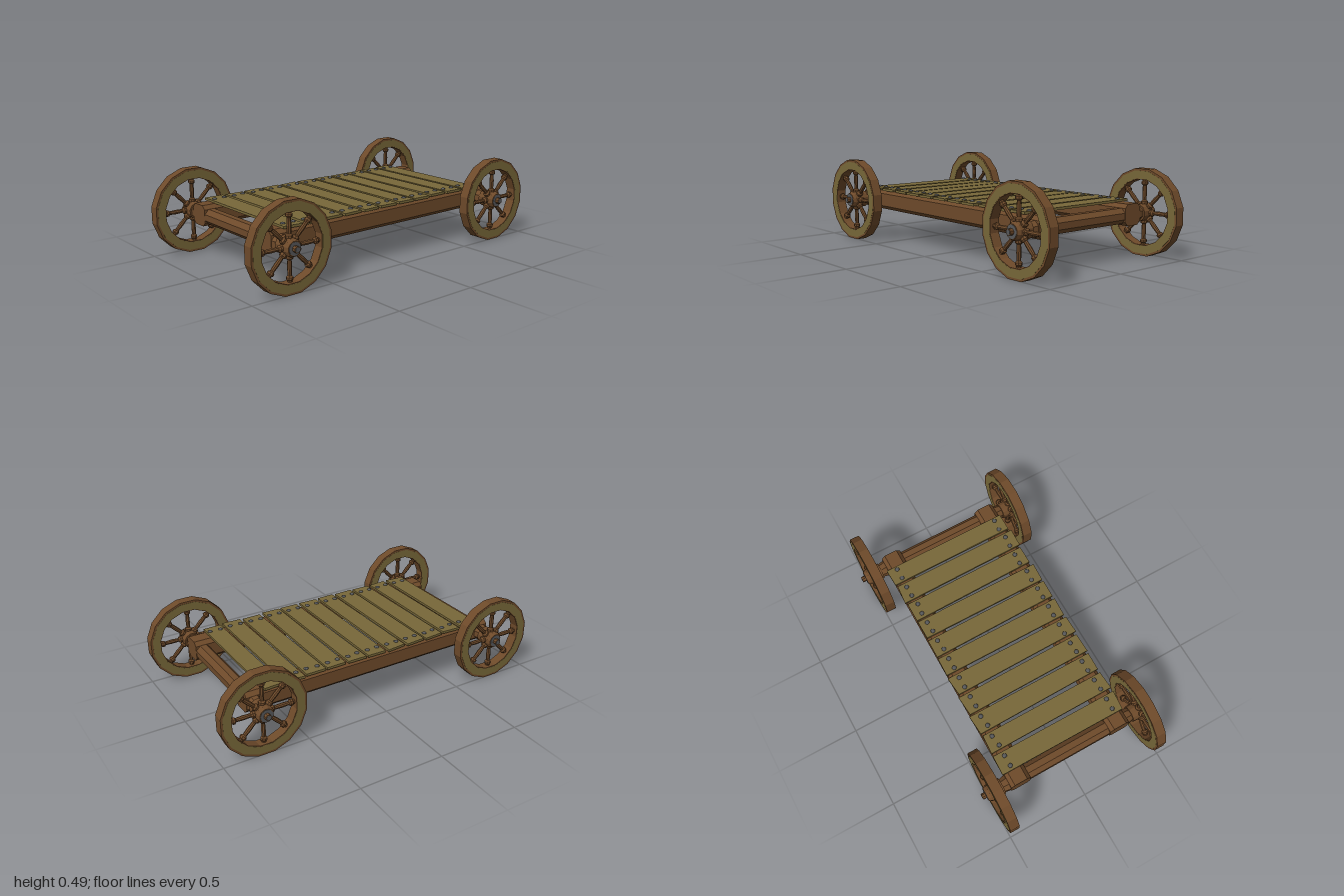
import * as THREE from 'three';

const brown = new THREE.MeshStandardMaterial({ color: 0x6e4a2a, flatShading: true });
const olive = new THREE.MeshStandardMaterial({ color: 0x786839, flatShading: true });
const metal = new THREE.MeshStandardMaterial({ color: 0x57585a, flatShading: true });

const AXLE_X = 0.755, AXLE_Y = 0.245;

function add(parent, name, geometry, material, x = 0, y = 0, z = 0) {
  const mesh = new THREE.Mesh(geometry, material);
  mesh.name = name;
  mesh.position.set(x, y, z);
  parent.add(mesh);
  return mesh;
}

// Octagonal or round bar along z, with flats facing the axes
function bar(r0, r1, length, sides = 8) {
  return new THREE.CylinderGeometry(r1, r0, length, sides).rotateY(Math.PI / sides).rotateX(Math.PI / 2);
}

// Sixteen-sided ring centred on z = 0
function ring(outer, inner, depth) {
  const points = (r) => Array.from({ length: 16 }, (_, i) => {
    const a = (i + 0.5) * Math.PI / 8;
    return new THREE.Vector2(r * Math.cos(a), r * Math.sin(a));
  });
  const shape = new THREE.Shape(points(outer));
  shape.holes.push(new THREE.Path(points(inner).reverse()));
  return new THREE.ExtrudeGeometry(shape, { depth, bevelEnabled: false }).translate(0, 0, -depth / 2);
}

// Wheel facing +z
function createWheel() {
  const wheel = new THREE.Group();
  add(wheel, 'rim', ring(0.249, 0.187, 0.058), brown);
  for (const s of [-1, 1]) add(wheel, 'rimFace', ring(0.237, 0.191, 0.002), olive, 0, 0, s * 0.029);
  // Spokes with a collar at each end
  const profile = [[0.013, 0.03], [0.02, 0.05], [0.02, 0.06], [0.011, 0.068], [0.013, 0.11],
    [0.011, 0.15], [0.019, 0.158], [0.019, 0.17], [0.013, 0.176], [0.013, 0.195]]
    .map(([r, y]) => new THREE.Vector2(r, y));
  const spoke = new THREE.LatheGeometry(profile, 8);
  for (let i = 0; i < 8; i++) add(wheel, 'spoke', spoke, brown).rotation.z = i * Math.PI / 4;
  // Hub, end plate and axle tip
  add(wheel, 'hub', bar(0.049, 0.049, 0.085, 12), brown, 0, 0, -0.0125);
  add(wheel, 'hubTaper', bar(0.049, 0.04, 0.017, 12), brown, 0, 0, 0.0385);
  add(wheel, 'hubPlate', bar(0.036, 0.036, 0.003, 12), metal, 0, 0, 0.0475);
  add(wheel, 'axleTip', bar(0.018, 0.018, 0.026), brown, 0, 0, 0.0575);
  add(wheel, 'axleCap', bar(0.014, 0.014, 0.002), metal, 0, 0, 0.071);
  return wheel;
}

export function createModel() {
  const cart = new THREE.Group();
  cart.name = 'cart';

  // Axles and wheels
  for (const sx of [-1, 1]) {
    add(cart, 'axle', bar(0.047, 0.047, 0.78), brown, sx * AXLE_X, AXLE_Y, 0);
    for (const sz of [-1, 1]) {
      const end = add(cart, 'axleEnd', bar(0.047, 0.036, 0.05), brown, sx * AXLE_X, AXLE_Y, sz * 0.415);
      const wheel = createWheel();
      wheel.name = 'wheel';
      wheel.position.set(sx * AXLE_X, AXLE_Y, sz * 0.474);
      if (sz < 0) end.rotation.y = wheel.rotation.y = Math.PI;
      cart.add(wheel);
    }
  }

  // Long side rails with chamfered edges
  const w = 0.061, h = 0.06, c = 0.022;
  const section = new THREE.Shape([[w - c, -h], [w, c - h], [w, h - c], [w - c, h],
    [c - w, h], [-w, h - c], [-w, c - h], [c - w, -h]].map(([x, y]) => new THREE.Vector2(x, y)));
  const rail = new THREE.ExtrudeGeometry(section, { depth: 1.6, bevelEnabled: false })
    .translate(0, 0, -0.8).rotateY(Math.PI / 2);
  for (const s of [-1, 1]) add(cart, 'sideRail', rail, brown, 0, 0.25, s * 0.322);

  // Uneven deck planks with bolts
  let seed = 7;
  const jitter = (amount) => {
    seed = (seed * 16807) % 2147483647;
    return (seed / 2147483647 * 2 - 1) * amount;
  };
  const bolt = new THREE.SphereGeometry(0.014, 8, 4, 0, Math.PI * 2, 0, Math.PI / 2).scale(1, 0.65, 1);
  for (let i = 0; i < 11; i++) {
    const x = -0.66 + i * 0.1305;
    const corners = [[-1, -1], [1, -1], [1, 1], [-1, 1]].map(([sx, sz]) =>
      new THREE.Vector2(sx * 0.056 + jitter(0.005), sz * 0.389 + jitter(0.008)));
    const plank = new THREE.ExtrudeGeometry(new THREE.Shape(corners), { depth: 0.014, bevelEnabled: false })
      .rotateX(-Math.PI / 2);
    add(cart, 'plank', plank, olive, x, 0.308, 0);
    for (const sx of [-1, 1]) for (const sz of [-1, 1])
      add(cart, 'bolt', bolt, metal, x + sx * 0.032, 0.321, sz * 0.333 + jitter(0.006));
  }
  return cart;
}
